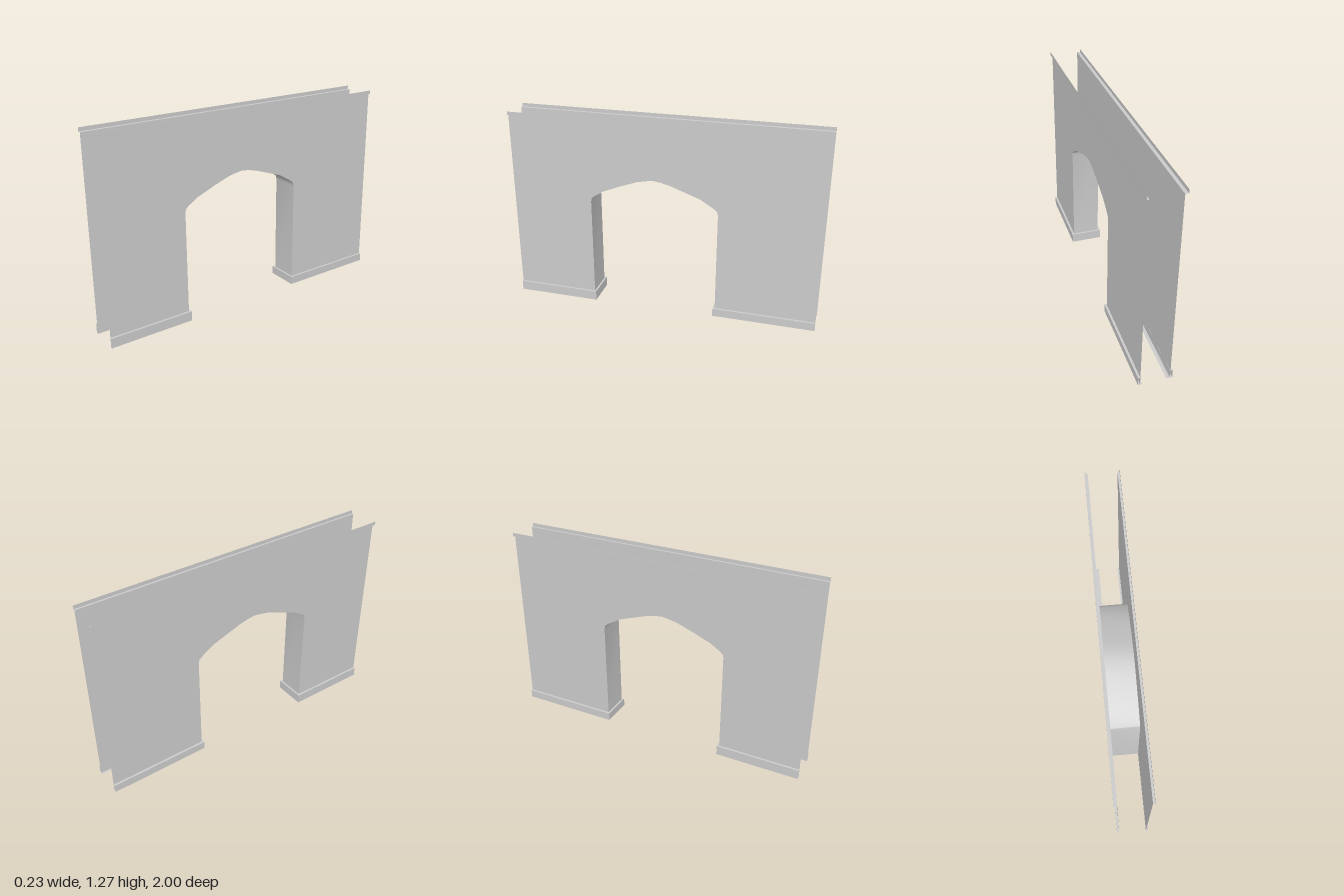
import * as THREE from 'three';
import { toCreasedNormals } from 'three/addons/utils/BufferGeometryUtils.js';

const material = new THREE.MeshStandardMaterial({ color: 0xcccccc, side: THREE.DoubleSide });

// The two wall sheets lean very slightly towards -x.
const HALF = 0.0905;
const TOP = 1.245;
const wallX = (side, y) => side * HALF + 0.0075 - 0.0095 * y;

// Opening outline as [z, y], from the front jamb over the arch to the back jamb.
const arch = [
  [0.468, 0], [0.468, 0.715], [0.463, 0.738], [0.442, 0.757], [0.38, 0.795],
  [0.27, 0.84], [0.16, 0.88], [0.105, 0.892], [0.056, 0.899], [0.005, 0.892],
  [-0.045, 0.88], [-0.145, 0.845], [-0.243, 0.81], [-0.33, 0.757],
  [-0.351, 0.738], [-0.357, 0.715], [-0.357, 0.01],
];

// Sheet spanning rows of [x, y, z] points.
function sheet(rows, crease, flip = false) {
  const n = rows[0].length;
  const index = [];
  for (let i = 0; i < rows.length - 1; i++) {
    for (let j = 0; j < n - 1; j++) {
      const a = i * n + j, b = a + n;
      if (flip) index.push(a, a + 1, b, b, a + 1, b + 1);
      else index.push(a, b, a + 1, b, b + 1, a + 1);
    }
  }
  const geometry = new THREE.BufferGeometry();
  geometry.setAttribute('position', new THREE.Float32BufferAttribute(rows.flat(2), 3));
  geometry.setIndex(index);
  return toCreasedNormals(geometry, crease);
}

// Flat wall with the arched opening cut from its lower edge.
function wall(side) {
  const outline = [[1, 0], ...arch, [-1, 0.01], [-1, TOP], [1, TOP]];
  const shape = new THREE.Shape(outline.map(([z, y]) => new THREE.Vector2(-side * z, y)));
  const geometry = new THREE.ShapeGeometry(shape);
  geometry.rotateY(side * Math.PI / 2);
  const p = geometry.attributes.position;
  for (let i = 0; i < p.count; i++) p.setX(i, wallX(side, p.getY(i)));
  geometry.computeVertexNormals();
  return geometry;
}

// Narrow ledge with an upright lip along the head of a wall.
function topTrim(side) {
  const x = wallX(side, TOP);
  const out = x + side * (side > 0 ? 0.013 : 0.02);
  const profile = [[x, TOP], [out, TOP], [out, 1.268]];
  return sheet(profile.map(([px, y]) => [[px, y, 1], [px, y, -1]]), 0.5, side < 0);
}

// Skirting that wraps the foot of a pier: ledge, face and bottom flange.
function skirting(end, jamb, bottom, flange) {
  const lip = jamb - end * 0.012;
  const levels = [
    [-0.083, 0.097, jamb, 0.063],
    [-0.098, 0.111, lip, 0.063],
    [-0.098, 0.111, lip, bottom],
    [...flange, bottom],
  ];
  const rows = levels.map(([left, right, z, y]) =>
    [[left, y, end], [left, y, z], [right, y, z], [right, y, end]]);
  return sheet(rows, 0.5, end < 0);
}

export function createModel() {
  const group = new THREE.Group();
  const add = (name, geometry) => {
    const mesh = new THREE.Mesh(geometry, material);
    mesh.name = name;
    group.add(mesh);
  };

  for (const [side, label] of [[1, 'left'], [-1, 'right']]) {
    add(label + 'Wall', wall(side));
    add(label + 'TopTrim', topTrim(side));
  }

  // Lining of the jambs and arch
  const lining = [-1, 1].map(side => arch.map(([z, y]) => [wallX(side, y), y, z]));
  add('archLining', sheet(lining, 0.6, true));

  add('frontSkirting', skirting(1, 0.468, 0, [-0.083, 0.097, 0.468]));
  add('backSkirting', skirting(-1, -0.357, 0.01, [-0.06, 0.085, -0.385]));
  return group;
}
